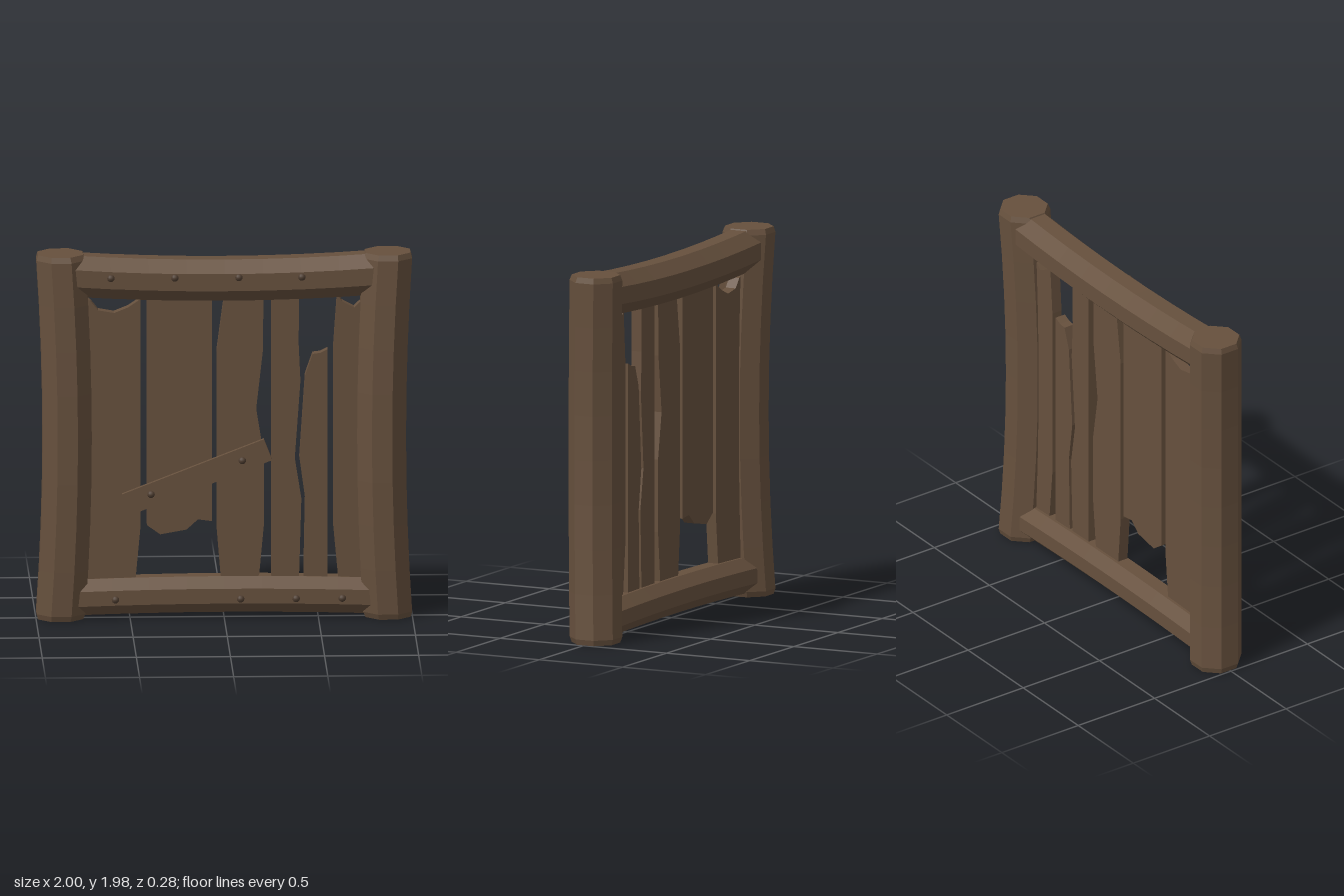
import * as THREE from 'three';

const wood = new THREE.MeshStandardMaterial({ color: 0x66503d, flatShading: true });
wood.name = 'wood';
const iron = new THREE.MeshStandardMaterial({ color: 0x4f3e31 });
iron.name = 'rivetDark';

// Eight-sided log along y with bevelled ends; bend(t) gives the sideways offset, t from -1 to 1
function logGeometry(length, apothem, bevel, endScale, bend) {
  const segments = 10;
  const radius = apothem / Math.cos(Math.PI / 8);
  const geo = new THREE.CylinderGeometry(radius, radius, length, 8, segments);
  geo.rotateY(Math.PI / 8);
  const p = geo.attributes.position;
  const inner = length / 2 - bevel;
  for (let i = 0; i < p.count; i++) {
    const t = p.getY(i) / (length / 2);
    const isEnd = Math.abs(t) > 0.99;
    const y = isEnd ? p.getY(i) : (t / (1 - 2 / segments)) * inner;
    const s = isEnd ? endScale : 1;
    const [dx, dz] = bend(y / (length / 2));
    p.setXYZ(i, p.getX(i) * s + dx, y, p.getZ(i) * s + dz);
  }
  return geo;
}

// Upright board from an outline in x and y
function board(points, z, depth) {
  const shape = new THREE.Shape(points.map(([x, y]) => new THREE.Vector2(x, y)));
  const geo = new THREE.ExtrudeGeometry(shape, { depth, bevelEnabled: false });
  geo.translate(0, 0, z);
  return geo;
}

export function createModel() {
  const group = new THREE.Group();
  const add = (name, geo, mat = wood) => {
    const mesh = new THREE.Mesh(geo, mat);
    mesh.name = name;
    group.add(mesh);
    return mesh;
  };

  // Side posts, bowed inwards and slightly forwards
  for (const [name, side] of [['rightPost', -1], ['leftPost', 1]]) {
    const geo = logGeometry(1.98, 0.13, 0.03, 0.92, (t) => [
      side * (0.835 + 0.035 * t * t),
      0.018 - 0.025 * t * t,
    ]);
    add(name, geo.translate(0, 0.995, 0));
  }

  // Rails: the top one sags, the bottom one arches
  const rail = (name, y, apothem, length, curve) => {
    const geo = logGeometry(length, apothem, 0.03, 0.88, (t) => [curve * t * t, 0]);
    add(name, geo.rotateZ(Math.PI / 2).translate(0, y, -0.005));
  };
  // rotateZ maps +x to +y, so a positive curve lifts the ends
  rail('topRail', 1.842, 0.112, 1.68, 0.03);
  rail('bottomRail', 0.135, 0.097, 1.66, -0.015);

  // Broken, worn planks
  const planks = [
    [[-0.76, 0.1], [-0.48, 0.1], [-0.47, 0.23], [-0.445, 0.5], [-0.445, 1.74],
      [-0.51, 1.695], [-0.585, 1.665], [-0.67, 1.68], [-0.71, 1.73], [-0.76, 1.76]],
    [[-0.41, 0.51], [-0.34, 0.46], [-0.2, 0.485], [-0.14, 0.54], [-0.065, 0.53],
      [-0.065, 1.83], [-0.41, 1.83]],
    [[-0.01, 0.13], [0.175, 0.13], [0.185, 0.23], [0.21, 0.5], [0.21, 0.89], [0.17, 1.14],
      [0.205, 1.45], [0.21, 1.83], [0.005, 1.83], [-0.003, 1.73], [-0.04, 1.45], [-0.04, 0.5]],
    [[0.25, 0.13], [0.395, 0.13], [0.41, 0.65], [0.375, 0.87], [0.405, 1.29],
      [0.395, 1.5], [0.4, 1.83], [0.25, 1.83]],
    [[0.42, 0.13], [0.55, 0.13], [0.55, 1.46], [0.51, 1.44], [0.47, 1.435],
      [0.43, 1.32], [0.4, 0.87], [0.43, 0.65]],
    [[0.615, 0.13], [0.76, 0.13], [0.76, 1.75], [0.715, 1.71], [0.69, 1.685],
      [0.625, 1.72], [0.6, 1.76], [0.58, 1.47], [0.58, 0.5], [0.605, 0.23]],
  ];
  planks.forEach((outline, i) => add(`plank${i + 1}`, board(outline, -0.03, 0.06)));

  // Slanted repair board
  const brace = add('brace', new THREE.BoxGeometry(0.81, 0.122, 0.03));
  brace.position.set(-0.145, 0.775, 0.044);
  brace.rotation.z = 0.372;

  // Round rivet heads
  const rivetGeo = new THREE.SphereGeometry(0.02, 12, 8);
  const rivets = [
    ...[-0.605, -0.265, 0.075, 0.41].map((x) => [x, 1.87, 0.106]),
    ...[-0.58, 0.085, 0.38, 0.625].map((x) => [x, 0.12, 0.093]),
    [-0.39, 0.685, 0.061],
    [0.095, 0.865, 0.061],
  ];
  rivets.forEach(([x, y, z], i) => add(`rivet${i + 1}`, rivetGeo, iron).position.set(x, y, z));

  return group;
}
